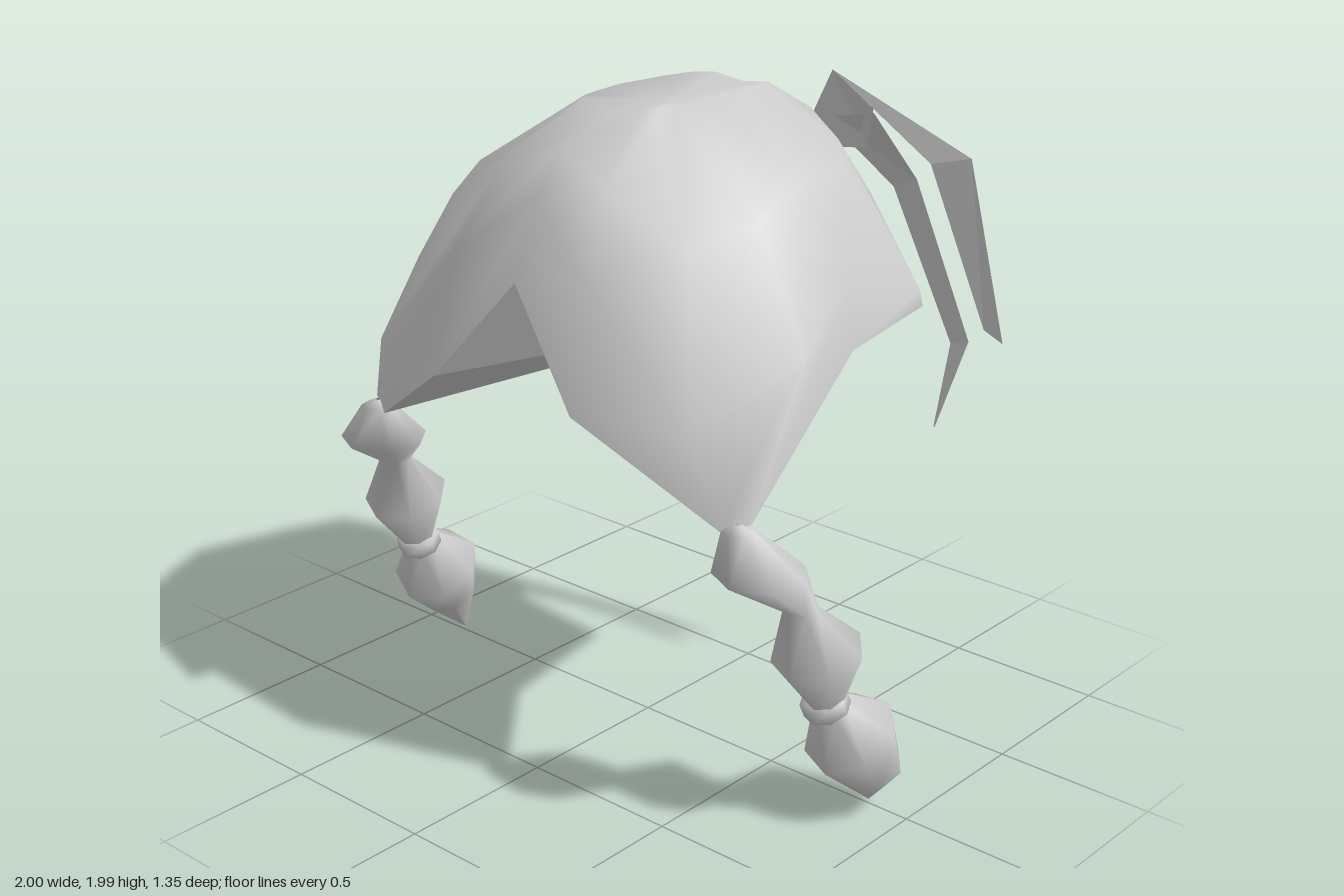
import * as THREE from 'three';

const hair = new THREE.MeshStandardMaterial({ color: 0xcccccc, side: THREE.DoubleSide });
hair.name = 'hairGrey';

function meshFrom(name, points, index, flat = false) {
  let g = new THREE.BufferGeometry();
  g.setAttribute('position', new THREE.Float32BufferAttribute(points.flat(), 3));
  g.setIndex(index);
  if (flat) g = g.toNonIndexed();
  g.computeVertexNormals();
  const m = new THREE.Mesh(g, hair);
  m.name = name;
  return m;
}

// left half loop (front centre to back centre) joined to a mirrored right half
const fullLoop = (left, right = left.slice(1, -1)) => [
  ...left,
  ...[...right].reverse().map(([x, y, z]) => [-x, y, z]),
];

// smooth strand through sections [x, y, z, radius, level?]
function strand(name, sections, sides = 7) {
  const centres = sections.map(([x, y, z]) => new THREE.Vector3(x, y, z));
  const up = new THREE.Vector3(0, 1, 0);
  const points = [], index = [];
  sections.forEach((s, i) => {
    const axis = s[4] ? up : centres[Math.max(i - 1, 0)].clone()
      .sub(centres[Math.min(i + 1, centres.length - 1)]).normalize();
    const q = new THREE.Quaternion().setFromUnitVectors(up, axis);
    for (let j = 0; j < sides; j++) {
      const a = (j / sides) * Math.PI * 2;
      const p = new THREE.Vector3(Math.sin(a) * s[3], 0, Math.cos(a) * s[3]);
      points.push(p.applyQuaternion(q).add(centres[i]).toArray());
      if (i === 0) continue;
      const k = (j + 1) % sides, hi = (i - 1) * sides, lo = i * sides;
      index.push(lo + j, lo + k, hi + k, lo + j, hi + k, hi + j);
    }
  });
  return meshFrom(name, points, index);
}

// flat folded strip between pairs of edge points
function ribbon(name, pairs) {
  const index = [];
  for (let i = 0; i < pairs.length - 1; i++) {
    const a = i * 2;
    index.push(a, a + 2, a + 3, a, a + 3, a + 1);
  }
  return meshFrom(name, pairs.flat(), index, true);
}

function cap() {
  // columns: front, fringe, inner and outer braid root, ear, side, corner, near back, back
  const hem = fullLoop([
    [0, 1.55, 0.55], [0.28, 1.25, 0.63], [0.67, 0.97, 0.46], [0.745, 1.0, 0.42],
    [0.76, 1.39, 0.01], [0.66, 1.38, -0.46], [0.47, 1.5, -0.5], [0.27, 1.62, -0.555],
    [0.05, 1.73, -0.6],
  ], [
    [0.21, 1.26, 0.67], [0.67, 0.97, 0.46], [0.745, 1.0, 0.42],
    [0.76, 1.3, -0.01], [0.69, 1.28, -0.39], [0.5, 1.42, -0.59], [0.22, 1.7, -0.6],
  ]);
  const rings = [
    hem,
    fullLoop([
      [0, 1.77, 0.46], [0.25, 1.6, 0.53], [0.61, 1.24, 0.51], [0.75, 1.4, 0.22],
      [0.725, 1.56, 0], [0.655, 1.43, -0.45], [0.43, 1.67, -0.5], [0.25, 1.76, -0.55],
      [0.03, 1.81, -0.6],
    ], [
      [0.25, 1.6, 0.53], [0.61, 1.24, 0.51], [0.75, 1.4, 0.22],
      [0.76, 1.54, 0], [0.69, 1.5, -0.36], [0.5, 1.64, -0.56], [0.24, 1.79, -0.59],
    ]),
    fullLoop([
      [0, 1.895, 0.36], [0.2, 1.82, 0.4], [0.45, 1.68, 0.35], [0.54, 1.75, 0.16],
      [0.53, 1.825, -0.03], [0.48, 1.8, -0.3], [0.35, 1.83, -0.44], [0.2, 1.89, -0.5],
      [0.02, 1.9, -0.53],
    ], [
      [0.2, 1.82, 0.4], [0.45, 1.68, 0.35], [0.53, 1.73, 0.16],
      [0.51, 1.79, -0.03], [0.46, 1.78, -0.3], [0.36, 1.84, -0.44], [0.2, 1.9, -0.5],
    ]),
    fullLoop([
      [0, 1.95, 0.16], [0.11, 1.98, 0.15], [0.14, 1.98, 0.11], [0.15, 1.98, 0.04],
      [0.16, 1.98, -0.06], [0.15, 1.975, -0.25], [0.14, 1.97, -0.36], [0.1, 1.965, -0.42],
      [0, 1.95, -0.43],
    ]),
  ];
  const n = hem.length, points = rings.flat(), index = [];
  const top = points.push([0, 1.95, -0.12]) - 1;
  for (let i = 0; i < rings.length; i++) {
    for (let j = 0; j < n; j++) {
      const k = (j + 1) % n, a = i * n + j, b = i * n + k;
      if (i === rings.length - 1) index.push(a, b, top);
      else index.push(a, b, b + n, a, b + n, a + n);
    }
  }
  // underside fan closing the hem
  const under = [];
  for (let j = 0; j < n; j++) under.push(n, (j + 1) % n, j);
  return [
    meshFrom('hairCap', points, index),
    meshFrom('capUnderside', [...hem, [-0.03, 1.2, -0.35]], under, true),
  ];
}

function braid(side, name) {
  const g = new THREE.Group();
  g.name = name;
  const mirror = (list) => list.map(([x, ...rest]) => [x * side, ...rest]);
  g.add(strand('braidLocks', mirror([
    [0.715, 1.0, 0.44, 0.01, 1], [0.72, 0.98, 0.44, 0.05, 1], [0.755, 0.85, 0.39, 0.135, 1],
    [0.82, 0.73, 0.29, 0.05, 1], [0.84, 0.58, 0.235, 0.135], [0.84, 0.41, 0.19, 0.05],
  ])));
  // hair tie
  g.add(strand('hairTie', mirror([
    [0.835, 0.43, 0.2, 0.04], [0.835, 0.425, 0.198, 0.07],
    [0.84, 0.385, 0.182, 0.07], [0.84, 0.38, 0.18, 0.04],
  ]), 8));
  g.add(strand('braidTail', mirror([
    [0.84, 0.4, 0.18, 0.05], [0.86, 0.275, 0.095, 0.145],
    [0.88, 0.145, 0.02, 0.095], [0.85, 0.01, -0.02, 0.002],
  ])));
  return g;
}

export function createModel() {
  const model = new THREE.Group();
  model.name = 'braidedWig';
  model.add(...cap(), braid(1, 'leftBraid'), braid(-1, 'rightBraid'));

  // loose strips tied at the back left
  model.add(
    ribbon('tuftBase', [
      [[0.24, 2, -0.55], [0.48, 1.94, -0.43]],
      [[0.07, 1.73, -0.61], [0.36, 1.78, -0.57]],
    ]),
    ribbon('outerStrip', [
      [[0.24, 2, -0.55], [0.48, 1.94, -0.43]],
      [[0.71, 1.8, -0.6], [0.59, 1.77, -0.57]],
      [[0.85, 1.27, -0.6], [0.77, 1.29, -0.62]],
    ]),
    ribbon('innerStrip', [
      [[0.18, 1.84, -0.6], [0.46, 1.92, -0.46]],
      [[0.42, 1.66, -0.63], [0.53, 1.71, -0.59]],
      [[0.62, 1.2, -0.675], [0.7, 1.23, -0.65]],
      [[0.59, 0.93, -0.65], [0.595, 0.93, -0.65]],
    ]),
  );
  return model;
}
